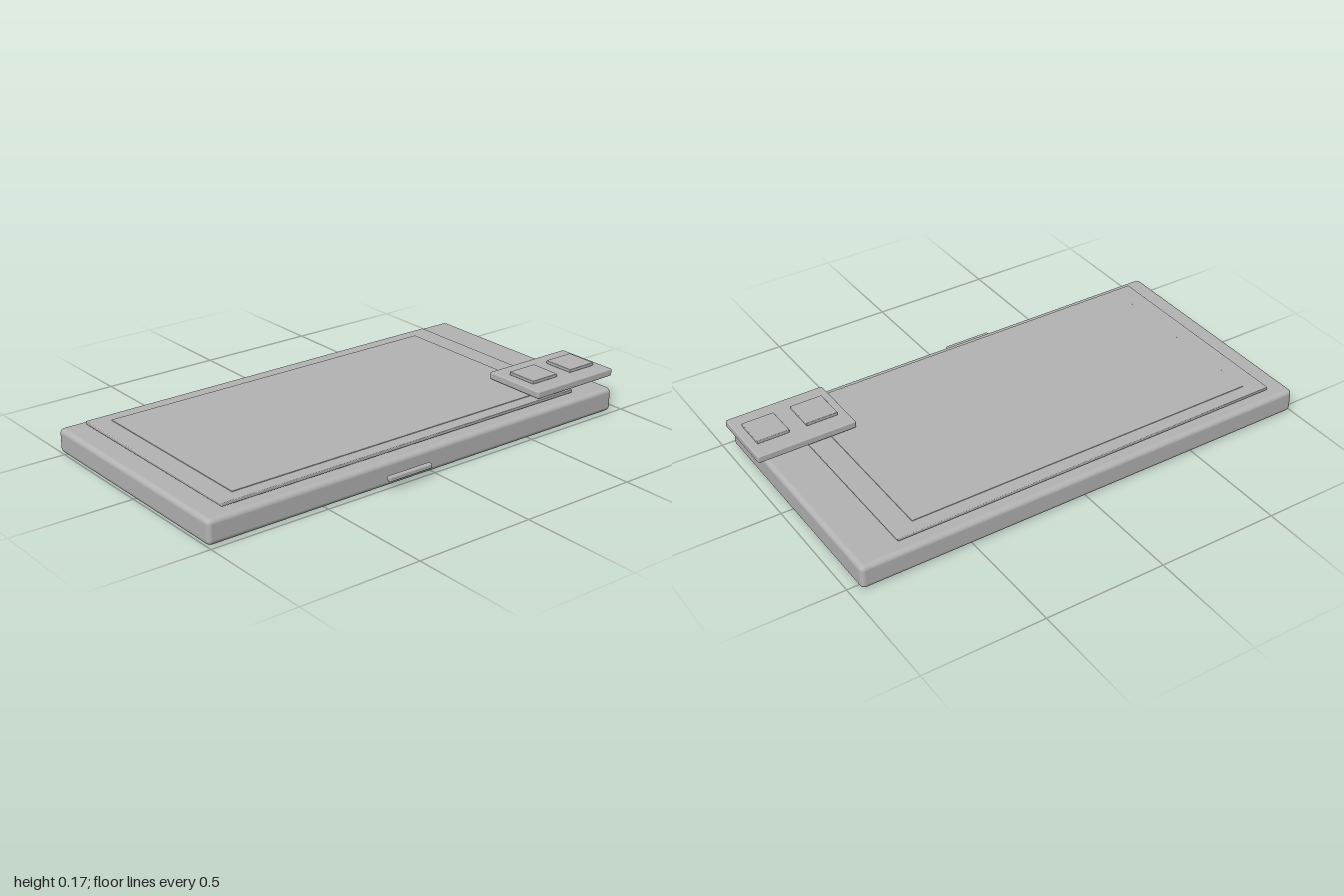
import * as THREE from 'three';
import { RoundedBoxGeometry } from 'three/addons/geometries/RoundedBoxGeometry.js';

const grey = new THREE.MeshStandardMaterial({ color: 0xb4b4b4 });
grey.name = 'plain grey';

// Rounded slab given by its extents along each axis
function slab(name, [x0, x1], [y0, y1], [z0, z1], radius) {
  const geometry = new RoundedBoxGeometry(x1 - x0, y1 - y0, z1 - z0, 3, radius);
  const mesh = new THREE.Mesh(geometry, grey);
  mesh.name = name;
  mesh.position.set((x0 + x1) / 2, (y0 + y1) / 2, (z0 + z1) / 2);
  return mesh;
}

export function createModel() {
  const model = new THREE.Group();
  model.name = 'phone';

  // Case lying flat, with the screen stacked on top
  model.add(
    slab('body', [-0.535, 0.485], [0, 0.1], [-0.957, 1], 0.02),
    slab('screenFrame', [-0.486, 0.435], [0.107, 0.12], [-0.781, 0.909], 0.003),
    slab('display', [-0.43, 0.38], [0.117, 0.123], [-0.69, 0.828], 0.001),
  );

  // Camera plate overhanging the back corner, with two square lenses
  const camera = new THREE.Group();
  camera.name = 'camera';
  camera.add(slab('cameraPlate', [0.16, 0.44], [0.127, 0.158], [-1, -0.586], 0.006));
  for (const z of [-0.898, -0.692]) {
    camera.add(slab('lens', [0.233, 0.368], [0.158, 0.172], [z - 0.067, z + 0.067], 0.003));
  }
  model.add(camera);

  // Side button standing off the left edge
  model.add(slab('sideButton', [0.514, 0.535], [0.043, 0.062], [0.043, 0.244], 0.004));

  return model;
}
